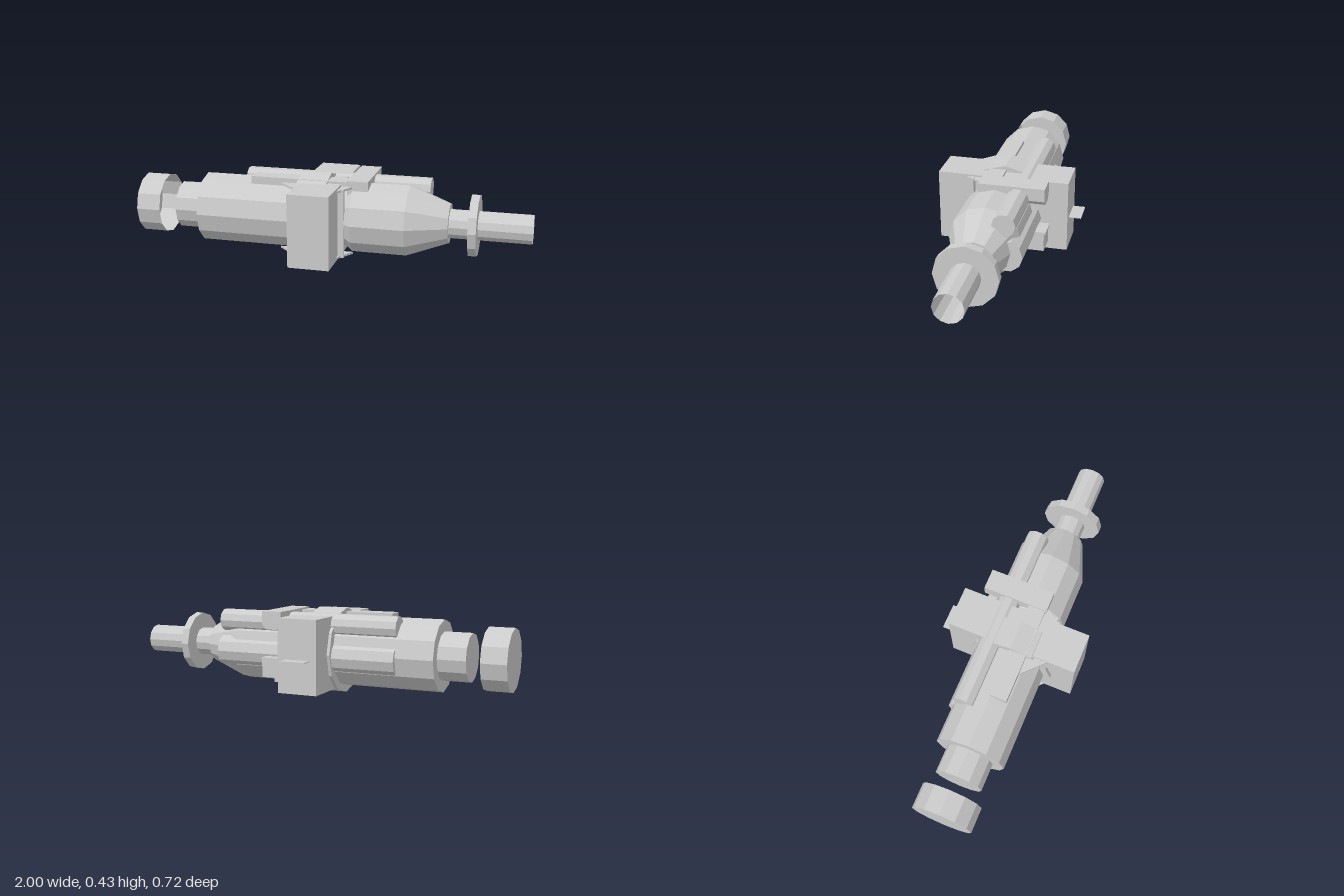
import * as THREE from 'three';

const AXIS_Y = 0.217, AXIS_Z = 0.03;

export function createModel() {
  const model = new THREE.Group();
  const mat = new THREE.MeshStandardMaterial({ color: 0xcccccc, flatShading: true, side: THREE.DoubleSide });

  const add = (name, geo) => {
    const mesh = new THREE.Mesh(geo, mat);
    mesh.name = name;
    model.add(mesh);
    return mesh;
  };
  // Box given by its minimum and maximum corners
  const box = (name, x0, x1, y0, y1, z0, z1) =>
    add(name, new THREE.BoxGeometry(x1 - x0, y1 - y0, z1 - z0))
      .position.set((x0 + x1) / 2, (y0 + y1) / 2, (z0 + z1) / 2);
  // Turned part along x from [x, radius] pairs
  const turned = (name, profile, sides = 12, y = AXIS_Y, z = AXIS_Z) => {
    const pts = profile.map(([x, r]) => new THREE.Vector2(r, x));
    const mesh = add(name, new THREE.LatheGeometry(pts, sides));
    mesh.rotation.z = -Math.PI / 2;
    mesh.position.set(0, y, z);
  };

  // Main barrel: rear shell, tapering front shell and neck
  turned('rearShell', [[-0.66, 0], [-0.66, 0.178], [0.02, 0.178], [0.02, 0]]);
  turned('frontShell', [[0, 0.15], [0.095, 0.15], [0.13, 0.178], [0.4, 0.178], [0.6, 0.1], [0.6, 0]]);
  turned('rearNeck', [[-0.8, 0], [-0.8, 0.12], [-0.66, 0.12]]);

  // Cup behind the neck, open towards the front shell
  turned('rearCup', [[-1, 0], [-1, 0.154], [-0.875, 0.154]]);

  // Open nozzle tube with its flange
  turned('nozzleTube', [[0.6, 0.073], [1, 0.073]]);
  turned('nozzleFlange', [[0.7, 0.073], [0.7, 0.154], [0.74, 0.154], [0.74, 0.073]]);

  // Central block with collar and side tab
  box('centralBlock', -0.135, 0.07, 0.035, 0.4, -0.303, 0.357);
  turned('collar', [[-0.15, 0], [-0.15, 0.215], [0, 0.215], [0, 0]]);
  box('sideTab', -0.1, 0.03, 0.198, 0.202, -0.365, -0.3);

  // Two long pipes beside the barrel
  const pipe = (name, r, y, z) => turned(name, [[-0.47, 0], [-0.47, r], [0.49, r], [0.49, 0]], 10, y, z);
  pipe('upperPipe', 0.057, 0.355, -0.08);
  pipe('lowerPipe', 0.08, 0.2, -0.09);

  // Flat rail on top
  box('topRail', -0.395, 0.1, 0.372, 0.412, 0.025, 0.112);

  // Cross bar with a chamfered underside
  const bar = new THREE.Shape([
    [0.1, 0.42], [0.1, 0.355], [0.125, 0.33], [0.18, 0.33], [0.205, 0.355], [0.205, 0.42],
  ].map(([x, y]) => new THREE.Vector2(x, y)));
  add('crossBar', new THREE.ExtrudeGeometry(bar, { depth: 0.33, bevelEnabled: false })).position.z = -0.212;

  // Lower bracket and its feet
  box('lowerBracket', 0.1, 0.205, 0.09, 0.18, -0.212, 0);
  box('bracketLip', 0.1, 0.205, 0.18, 0.19, -0.22, -0.1);
  for (const z of [-0.11, -0.09]) box('bracketFoot', 0.11, 0.19, 0.05, 0.09, z, z + 0.018);

  // Thin side plate and triangular gussets on the block's front half
  box('sidePlate', -0.155, 0.1, 0.045, 0.392, 0.168, 0.184);
  const gusset = (tip, root, y) => {
    const tri = new THREE.Shape([
      new THREE.Vector2(tip, 0.11), new THREE.Vector2(root, 0.11), new THREE.Vector2(root, 0.22),
    ]);
    const mesh = add('gusset', new THREE.ExtrudeGeometry(tri, { depth: 0.01, bevelEnabled: false }));
    mesh.rotation.x = Math.PI / 2;
    mesh.position.y = y;
  };
  for (const y of [0.39, 0.055]) {
    gusset(-0.245, -0.13, y);
    gusset(0.13, 0.065, y);
  }

  return model;
}
